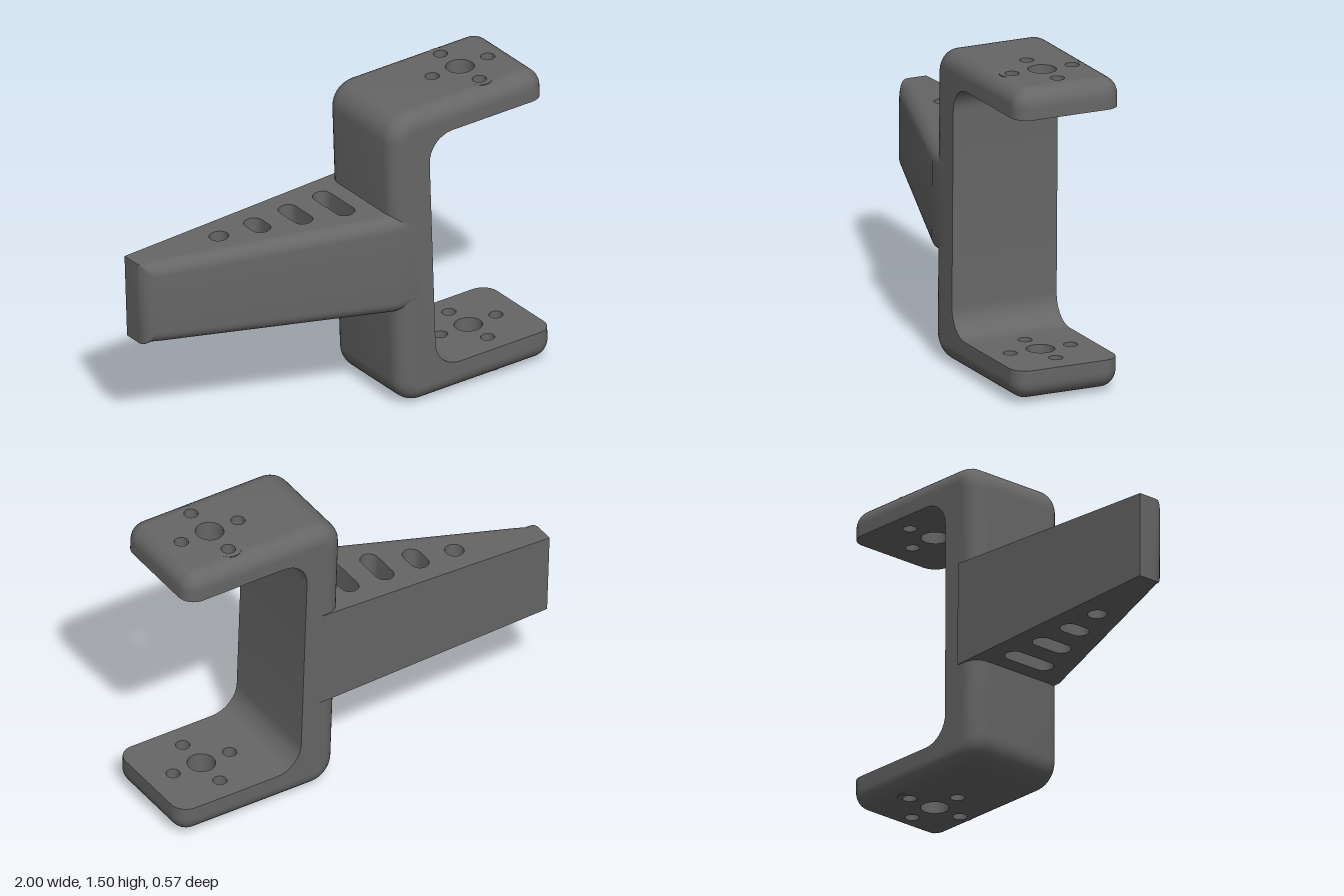
import * as THREE from 'three';
import { toCreasedNormals } from 'three/addons/utils/BufferGeometryUtils.js';

const V2 = (x, y) => new THREE.Vector2(x, y);
const V3 = (x, y, z) => new THREE.Vector3(x, y, z);
const STEPS = 8;

// points on an arc, both ends included
function arc(cx, cy, r, from, to, n = STEPS) {
  return Array.from({ length: n + 1 }, (_, i) => {
    const a = (from + (to - from) * i / n) * Math.PI;
    return V2(cx + r * Math.cos(a), cy + r * Math.sin(a));
  });
}

// skin between successive sections; skip(layer, segment) leaves openings
function loft(out, layers, skip) {
  const n = layers[0].length;
  for (let k = 0; k < layers.length - 1; k++) {
    for (let i = 0; i < n; i++) {
      if (skip(k, i)) continue;
      const j = (i + 1) % n, P = layers[k], Q = layers[k + 1];
      out.push(P[i], Q[i], Q[j], P[i], Q[j], P[j]);
    }
  }
}

// flat face with holes; ccw picks the triangle winding in outline coordinates
function face(out, outline, holes, map, ccw) {
  const pts = [...outline, ...holes.flat()];
  for (const [a, b, c] of THREE.ShapeUtils.triangulateShape(outline, holes)) {
    const A = pts[a], B = pts[b], C = pts[c];
    const area = (B.x - A.x) * (C.y - A.y) - (B.y - A.y) * (C.x - A.x);
    const t = (area > 0) === ccw ? [A, B, C] : [A, C, B];
    out.push(...t.map((p) => map(p.x, p.y)));
  }
}

// inward-facing walls of vertical holes given in (x, z)
function holeWalls(out, holes, low, high) {
  for (const h of holes) {
    const row = (f) => h.map((p) => V3(p.x, f(p.x), p.y));
    loft(out, [row(low), row(high)], () => false);
  }
}

// slot outline in (x, z), running along z
function slot(x, z0, z1, r) {
  return [...arc(x, z1 - r, r, 0, 1, 12), ...arc(x, z0 + r - 1e-4, r, 1, 2, 12)];
}

function circle(x, z, r) {
  return arc(x, z, r, 0, 2, 28).slice(0, -1);
}

function finish(points, material, name) {
  const geometry = new THREE.BufferGeometry().setFromPoints(points);
  const mesh = new THREE.Mesh(toCreasedNormals(geometry, 0.5), material);
  mesh.name = name;
  return mesh;
}

const HUB = { x: 0.694, spacing: 0.154, screw: 0.033 };
const TOP = 0.728, BOTTOM = -0.748, INNER_TOP = 0.588, INNER_BOTTOM = -0.603;

// C-shaped bracket: rounded outside, sharp-edged opening inside
function bracketPoints() {
  const out = [], xl = 0.13, xr = 0.983, xi = 0.33, depth = 0.267;
  const round = 0.0795, R = 0.125, Rr = 0.085, Ri = 0.13, m = STEPS;
  const section = (z, d) => [
    ...arc(xl + R, BOTTOM + R, R - d, 1, 1.5),
    ...arc(xr - Rr, BOTTOM + Rr, Rr - d, 1.5, 2),
    V2(xr - d, INNER_BOTTOM),
    ...arc(xi + Ri, INNER_BOTTOM + Ri, Ri, 1.5, 1),
    ...arc(xi + Ri, INNER_TOP - Ri, Ri, 1, 0.5),
    V2(xr - d, INNER_TOP),
    ...arc(xr - Rr, TOP - Rr, Rr - d, 0, 0.5),
    ...arc(xl + R, TOP - R, R - d, 0.5, 1),
  ].map((p) => V3(p.x, p.y, z));
  const front = [], back = [];
  for (let i = 0; i <= STEPS; i++) {
    const a = i / STEPS * Math.PI / 2;
    const z = depth - round + round * Math.cos(a), d = round * (1 - Math.sin(a));
    front.push(section(z, d));
    back.unshift(section(-z, d));
  }
  const layers = [...front, ...back];
  const outer = [m, 5 * m + 6], inner = [2 * m + 2, 4 * m + 4];
  loft(out, layers, (k, i) => inner.includes(i) || (k === STEPS && outer.includes(i)));

  // front and back faces
  const flat = layers[0].map((p) => V2(p.x, p.y));
  face(out, flat, [], (x, y) => V3(x, y, depth), true);
  face(out, flat, [], (x, y) => V3(x, y, -depth), false);

  // drilled plates
  const s = HUB.spacing;
  const holes = [circle(HUB.x, 0, 0.066),
    ...[[s, 0], [-s, 0], [0, s], [0, -s]].map(([x, z]) => circle(HUB.x + x, z, HUB.screw))];
  const drilled = (ks, i, y, up) => {
    const side = (j) => ks.map((k) => V2(layers[k][j].x, layers[k][j].z));
    face(out, [...side(i), ...side(i + 1).reverse()], holes, (x, z) => V3(x, y, z), !up);
  };
  const mid = [STEPS, STEPS + 1], all = layers.map((_, k) => k);
  drilled(mid, outer[0], BOTTOM, false);
  drilled(mid, outer[1], TOP, true);
  drilled(all, inner[0], INNER_BOTTOM, true);
  drilled(all, inner[1], INNER_TOP, false);
  holeWalls(out, holes, () => BOTTOM, () => INNER_BOTTOM);
  holeWalls(out, holes, () => INNER_TOP, () => TOP);
  return out;
}

// tapered arm: flat back, front edges rounded but running out sharp at the tip
function armPoints() {
  const out = [], zb = -0.272, xEnd = -0.997;
  const round = (x) => 0.001 + 0.064 * Math.min(1, (x - xEnd) / 0.045);
  const half = (x) => 0.204 + 0.037 * (x + 1);
  const high = (x) => -0.013 + half(x), low = (x) => -0.013 - half(x);
  const nose = new THREE.QuadraticBezierCurve(V2(xEnd, -0.18), V2(xEnd, -0.122), V2(-0.9, -0.09));
  const plan = [...nose.getPoints(10), V2(0.125, 0.268), V2(0.24, 0.268)];
  const layers = plan.map(({ x, y: zf }) => {
    const r = round(x);
    return [
      V2(zb, low(x)),
      ...arc(zf - r, low(x) + r, r, 1.5, 2),
      ...arc(zf - r, high(x) - r, r, 0, 0.5),
      V2(zb, high(x)),
    ].map((p) => V3(x, p.y, p.x));
  });
  const n = layers[0].length;
  loft(out, layers, (k, i) => i === 0 || i === n - 2);
  face(out, layers[0].map((p) => V2(p.z, p.y)), [], (z, y) => V3(xEnd, y, z), true);

  const slots = [slot(-0.564, -0.186, -0.096, 0.045), slot(-0.374, -0.184, -0.033, 0.045),
    slot(-0.184, -0.182, 0.029, 0.045), slot(0.006, -0.18, 0.092, 0.045)];
  const outline = [...plan.map((p) => V2(p.x, p.y - round(p.x))), V2(0.24, zb), V2(xEnd, zb)];
  face(out, outline, slots, (x, z) => V3(x, high(x), z), false);
  face(out, outline, slots, (x, z) => V3(x, low(x), z), true);
  holeWalls(out, slots, low, high);
  return out;
}

export function createModel() {
  const model = new THREE.Group();
  model.name = 'armBracket';
  const material = new THREE.MeshStandardMaterial({ color: 0x666666, side: THREE.DoubleSide });
  const body = new THREE.Group();
  body.name = 'body';
  body.add(finish(bracketPoints(), material, 'clampBracket'));
  body.add(finish(armPoints(), material, 'slottedArm'));

  // screw bosses that break through the rounded plate edges
  const ring = toCreasedNormals(
    new THREE.LatheGeometry([V2(0.06, -0.07), V2(0.06, 0), V2(HUB.screw, 0)], 28), 0.5);
  for (const side of [1, -1]) {
    for (const up of [true, false]) {
      const boss = new THREE.Mesh(ring, material);
      boss.name = 'screwBoss';
      boss.position.set(HUB.x, up ? TOP : BOTTOM, side * HUB.spacing);
      if (!up) boss.rotation.x = Math.PI;
      body.add(boss);
    }
  }

  // the whole part leans slightly
  body.rotation.set(-0.018, -0.009, 0.022);
  model.add(body);
  model.updateMatrixWorld(true);
  const box = new THREE.Box3().setFromObject(body, true);
  const c = box.getCenter(V3(0, 0, 0));
  body.position.set(-c.x, -box.min.y, -c.z);
  return model;
}
